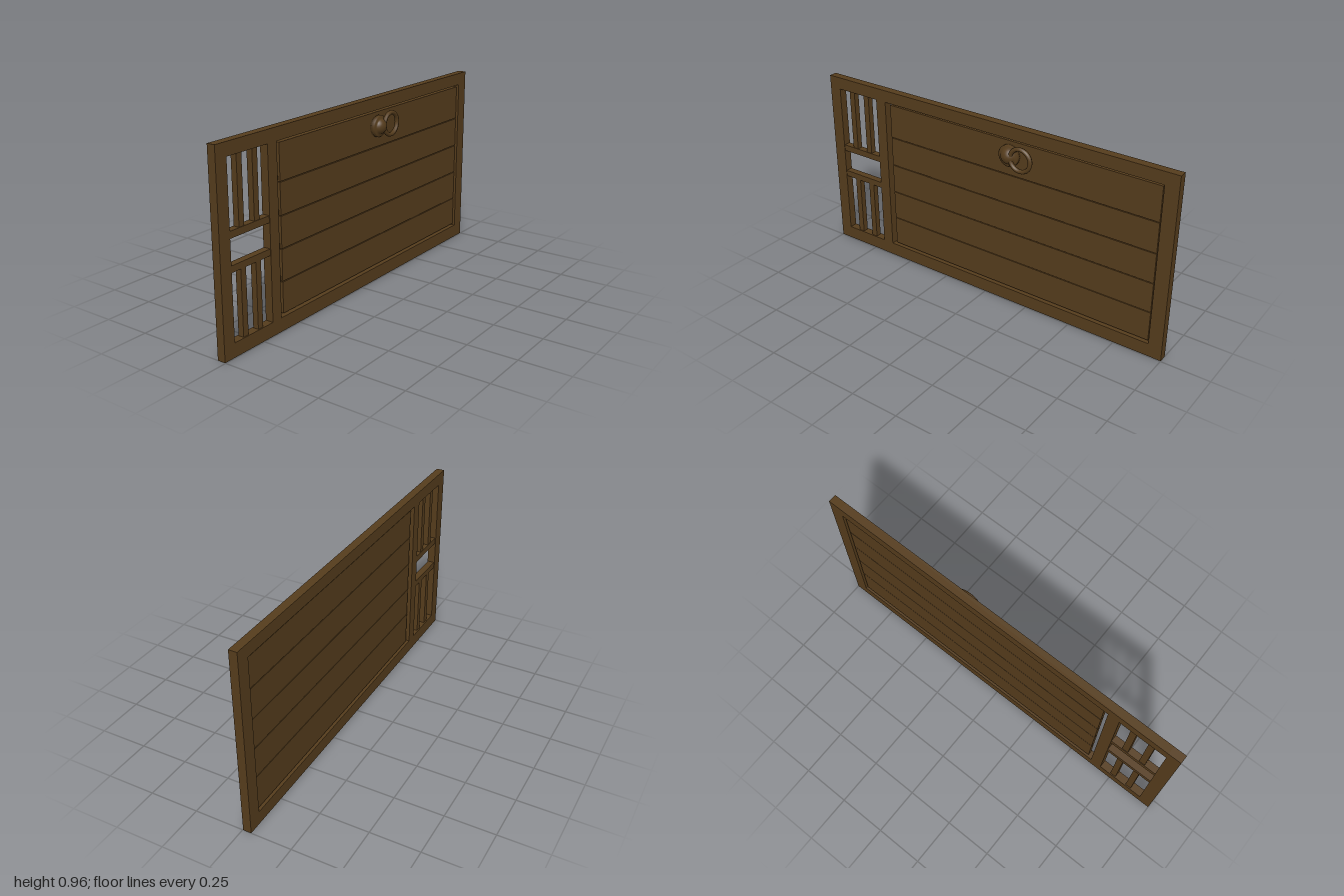
import * as THREE from 'three';

const wood = new THREE.MeshStandardMaterial({ color: 0x553c1c });
const metal = new THREE.MeshStandardMaterial({ color: 0x553c1c });
const MID = -0.024; // middle of the gate's thickness

export function createModel() {
  const group = new THREE.Group();
  const add = (name, geometry, material = wood) => {
    const mesh = new THREE.Mesh(geometry, material);
    mesh.name = name;
    group.add(mesh);
    return mesh;
  };
  // Board given by its y and z limits and thickness
  const board = (name, y0, y1, z0, z1, thick) =>
    add(name, new THREE.BoxGeometry(thick, y1 - y0, z1 - z0))
      .position.set(MID, (y0 + y1) / 2, (z0 + z1) / 2);

  // Outer frame and inner stile
  board('frontStile', 0, 0.96, 0.935, 1, 0.042);
  board('backStile', 0, 0.96, -1, -0.93, 0.042);
  board('topRail', 0.897, 0.96, -0.93, 0.935, 0.042);
  board('bottomRail', 0, 0.069, -0.93, 0.935, 0.042);
  board('innerStile', 0.069, 0.897, 0.625, 0.685, 0.042);

  // Barred window with two cross rails
  board('lowerCrossRail', 0.39, 0.422, 0.685, 0.935, 0.036);
  board('upperCrossRail', 0.543, 0.576, 0.685, 0.935, 0.036);
  for (const z of [0.857, 0.761]) {
    board('lowerBar', 0.069, 0.39, z - 0.016, z + 0.016, 0.03);
    board('upperBar', 0.576, 0.897, z - 0.016, z + 0.016, 0.03);
  }

  // Horizontal planks with overlapping rebated edges
  const bottom = 0.08, step = 0.157, height = 0.177, lap = 0.02, t = 0.012;
  for (let i = 0; i < 5; i++) {
    const y0 = bottom + i * step, y1 = y0 + height;
    const frontTop = i < 4 ? y1 - lap - 0.004 : y1;
    const backBottom = i > 0 ? y0 + lap + 0.004 : y0;
    const profile = new THREE.Shape([
      [t, y0], [t, frontTop], [-0.001, frontTop], [-0.001, y1],
      [-t, y1], [-t, backBottom], [0.001, backBottom], [0.001, y0],
    ].map(([x, y]) => new THREE.Vector2(x, y)));
    const plank = new THREE.ExtrudeGeometry(profile, { depth: 1.522, bevelEnabled: false });
    add('plank', plank).position.set(MID, 0, -0.922);
  }

  // Round handle plate with a domed boss, turned about the x axis
  const outline = [
    [0, -0.012], [0.055, -0.012], [0.055, 0.01], [0.05, 0.014], [0.04, 0.014],
    [0.037, 0.02], [0.032, 0.027], [0.024, 0.034], [0.013, 0.039], [0, 0.041],
  ].map(([r, x]) => new THREE.Vector2(r, x));
  const boss = add('handleBoss', new THREE.LatheGeometry(outline, 32), metal);
  boss.rotation.z = -Math.PI / 2;
  boss.position.set(0, 0.815, -0.14);

  // Pull ring
  const ring = add('pullRing', new THREE.TorusGeometry(0.056, 0.011, 8, 32), metal);
  ring.rotation.y = Math.PI / 2;
  ring.position.set(0.022, 0.817, -0.215);

  return group;
}
